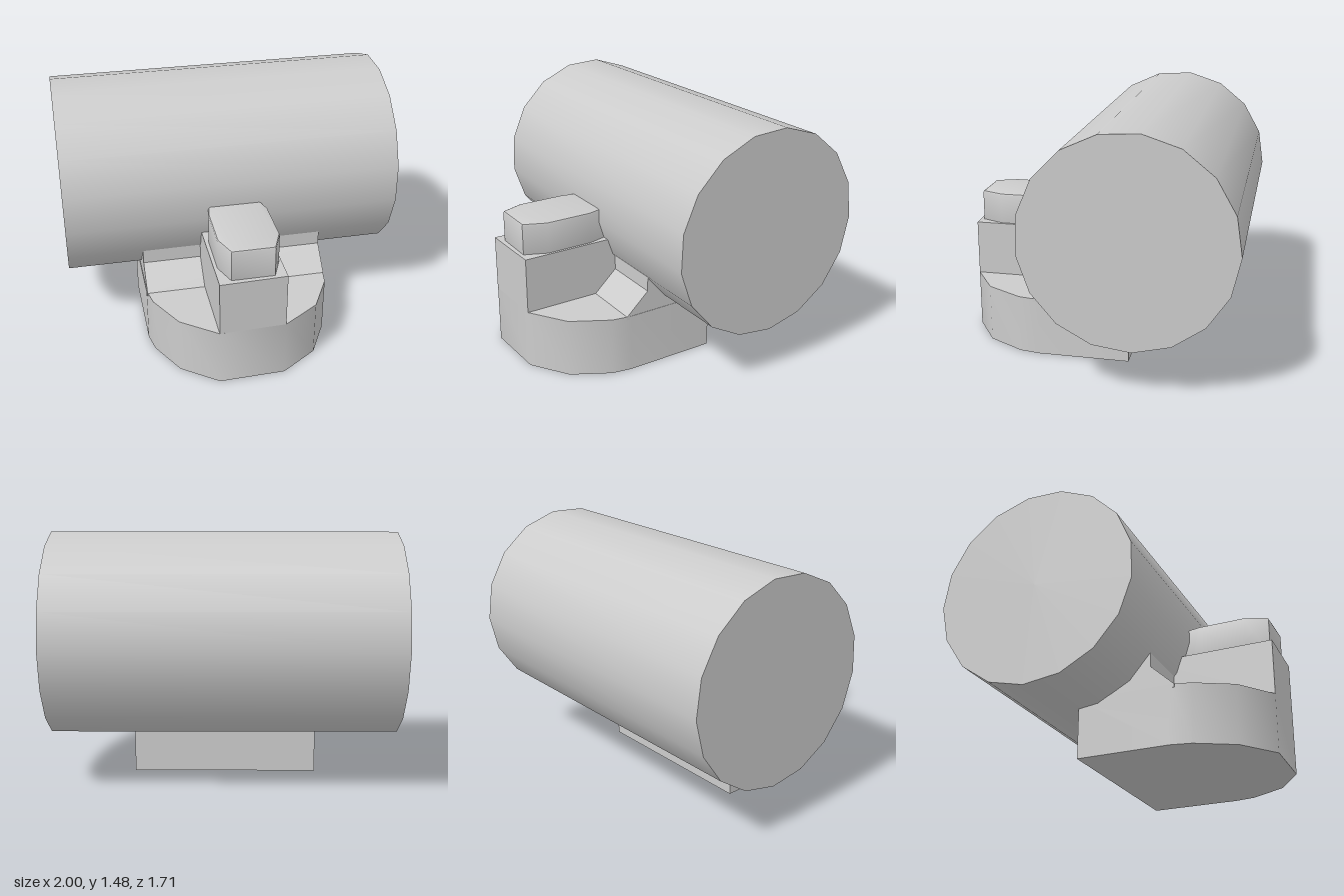
import * as THREE from 'three';
import { toCreasedNormals } from 'three/addons/utils/BufferGeometryUtils.js';

const material = new THREE.MeshStandardMaterial({ color: 0xcccccc });

function shapeOf(points) {
  return new THREE.Shape(points.map(([x, y]) => new THREE.Vector2(x, y)));
}

// Extrudes an [x, z] outline upward from y0 to y1
function plate(outline, y0, y1, bevel = 0) {
  const geo = new THREE.ExtrudeGeometry(shapeOf(outline.map(([x, z]) => [x, -z])), {
    depth: y1 - y0 - 2 * bevel,
    bevelEnabled: bevel > 0,
    bevelThickness: bevel,
    bevelSize: bevel,
    bevelOffset: -bevel,
    bevelSegments: 2,
  });
  return geo.rotateX(-Math.PI / 2).translate(0, y0 + bevel, 0);
}

export function createModel() {
  const group = new THREE.Group();
  const add = (name, geo) => {
    const mesh = new THREE.Mesh(geo, material);
    mesh.name = name;
    group.add(mesh);
  };

  // Horizontal 17-sided drum with flat ends
  const drum = new THREE.CylinderGeometry(0.601, 0.601, 2, 17);
  drum.rotateZ(Math.PI / 2); // axis along x
  drum.rotateX(Math.PI / 2 + THREE.MathUtils.degToRad(3.3)); // one corner just ahead of the top
  drum.translate(0, 0.883, -0.255);
  add('drum', drum);

  // Base with a straight back and a rounded front
  const base = plate([
    [-0.555, -0.19], [0.55, -0.19], [0.55, 0.36], [0.53, 0.48], [0.41, 0.7],
    [0.19, 0.845], [-0.2, 0.855], [-0.41, 0.7], [-0.53, 0.48], [-0.555, 0.36],
  ], 0, 0.35);
  add('base', toCreasedNormals(base, 0.7));

  // Stepped wall that rises from the base into the drum
  const wall = new THREE.ExtrudeGeometry(shapeOf([
    [-0.19, 0.33], [0.39, 0.33], [0.39, 0.35], [0.25, 0.48], [0.25, 0.59], [-0.19, 0.59],
  ]), { depth: 1.1, bevelEnabled: false });
  wall.rotateY(-Math.PI / 2).translate(0.548, 0, 0);
  add('supportWall', wall);

  // Square column at the front centre
  add('column', plate([
    [-0.202, 0.1], [0.19, 0.1], [0.19, 0.845], [-0.202, 0.855],
  ], 0.35, 0.685));

  // Knob with cut corners and a softened top
  const knob = plate([
    [-0.155, 0.28], [0.14, 0.28], [0.175, 0.41], [0.175, 0.69], [0.12, 0.823],
    [-0.13, 0.823], [-0.182, 0.69], [-0.18, 0.41],
  ], 0.62, 0.875, 0.014);
  add('knob', toCreasedNormals(knob, 0.7));

  return group;
}
